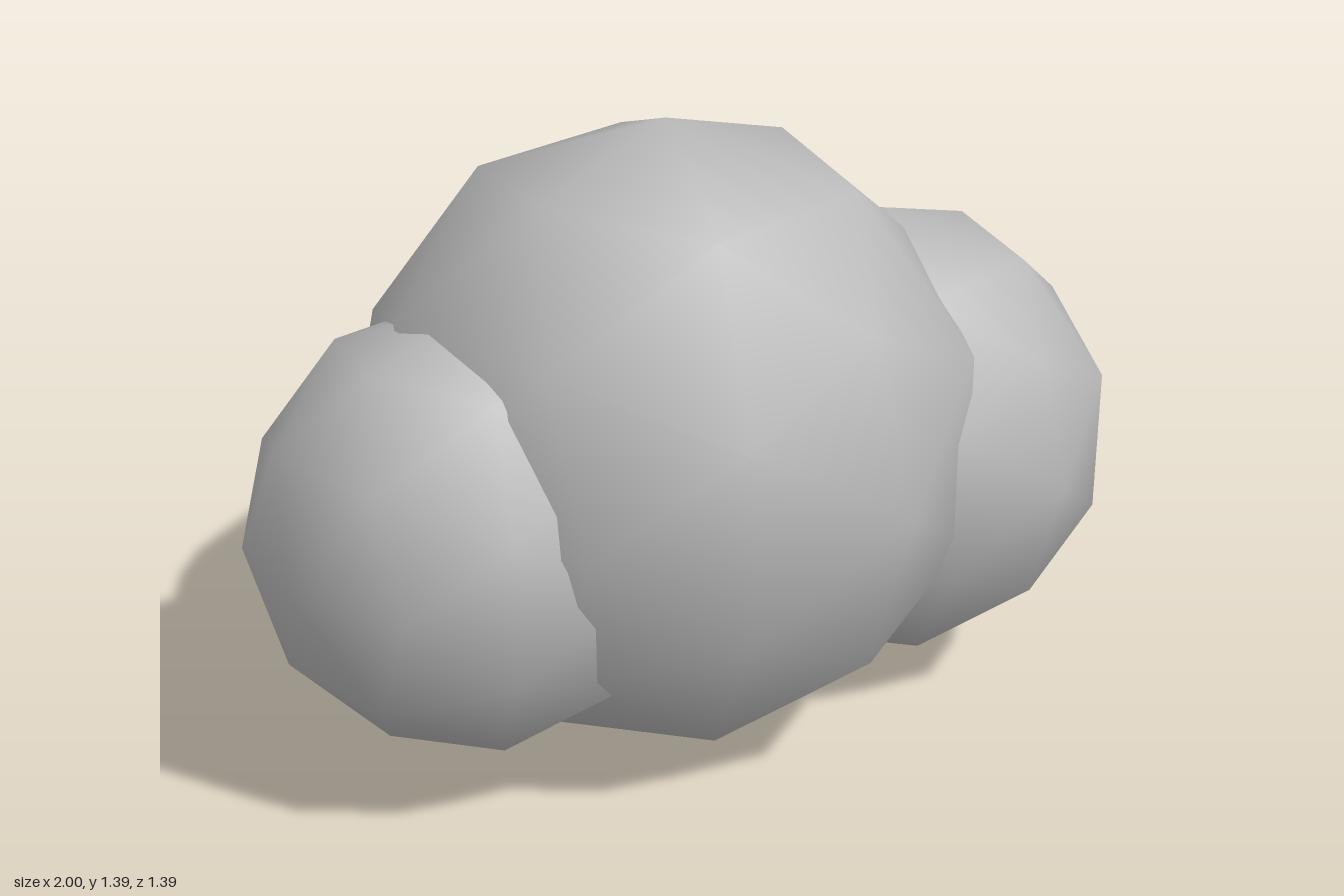
import * as THREE from 'three';

export function createModel() {
  const model = new THREE.Group();
  model.name = 'puffCluster';

  const grey = new THREE.MeshStandardMaterial({ color: 0xb8b8b8 });
  grey.name = 'soft grey';

  // Smooth-shaded faceted balls that overlap: name, radius, centre
  const puffs = [
    ['mainPuff', 0.697, [-0.05, 0.698, 0]],
    ['leftPuff', 0.522, [0.477, 0.585, 0.173]],
    ['rightPuff', 0.486, [-0.514, 0.585, -0.12]],
  ];
  for (const [name, radius, centre] of puffs) {
    const puff = new THREE.Mesh(new THREE.IcosahedronGeometry(radius, 1), grey);
    puff.name = name;
    puff.position.set(...centre);
    model.add(puff);
  }
  return model;
}
